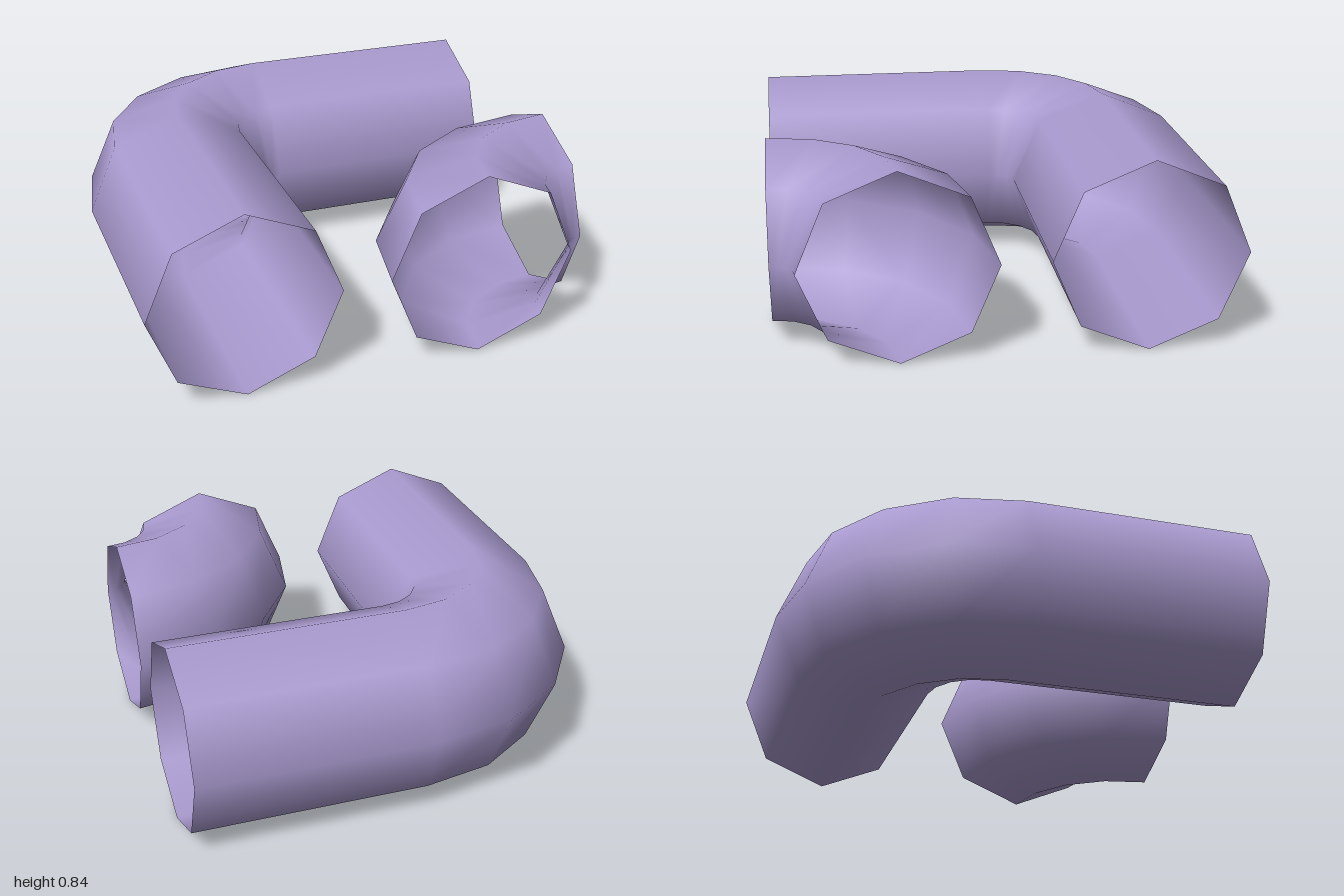
import * as THREE from 'three';

const TUBE = 0.42;   // pipe radius
const BEND = 0.525;  // centreline radius of both bends
const SIDES = 8;
const CORNER = -0.055; // bend centre of the large elbow, in x and z

export function createModel() {
  const model = new THREE.Group();
  const material = new THREE.MeshStandardMaterial({ color: 0xaa9bd0, side: THREE.DoubleSide });

  const add = (parent, name, geometry, x, z) => {
    const mesh = new THREE.Mesh(geometry, material);
    mesh.name = name;
    mesh.position.set(x, TUBE, z);
    parent.add(mesh);
  };

  // Open quarter bend lying flat, sweeping from -x to -z around its centre
  const bend = new THREE.TorusGeometry(BEND, TUBE, SIDES, 4, Math.PI / 2)
    .rotateX(Math.PI / 2).rotateY(Math.PI);

  // Open straight pipe, running along z
  const length = 1 - CORNER;
  const straight = new THREE.CylinderGeometry(TUBE, TUBE, length, SIDES, 1, true)
    .rotateX(Math.PI / 2);

  // Large elbow with two straight arms
  const largeElbow = new THREE.Group();
  largeElbow.name = 'largeElbow';
  add(largeElbow, 'largeBend', bend, CORNER, CORNER);
  add(largeElbow, 'frontArm', straight, CORNER - BEND, CORNER + length / 2);
  add(largeElbow, 'sideArm', straight.clone().rotateY(Math.PI / 2), CORNER + length / 2, CORNER - BEND);
  model.add(largeElbow);

  // Small elbow nested in the opposite corner
  add(model, 'smallElbow', bend, 1, 1);

  return model;
}
